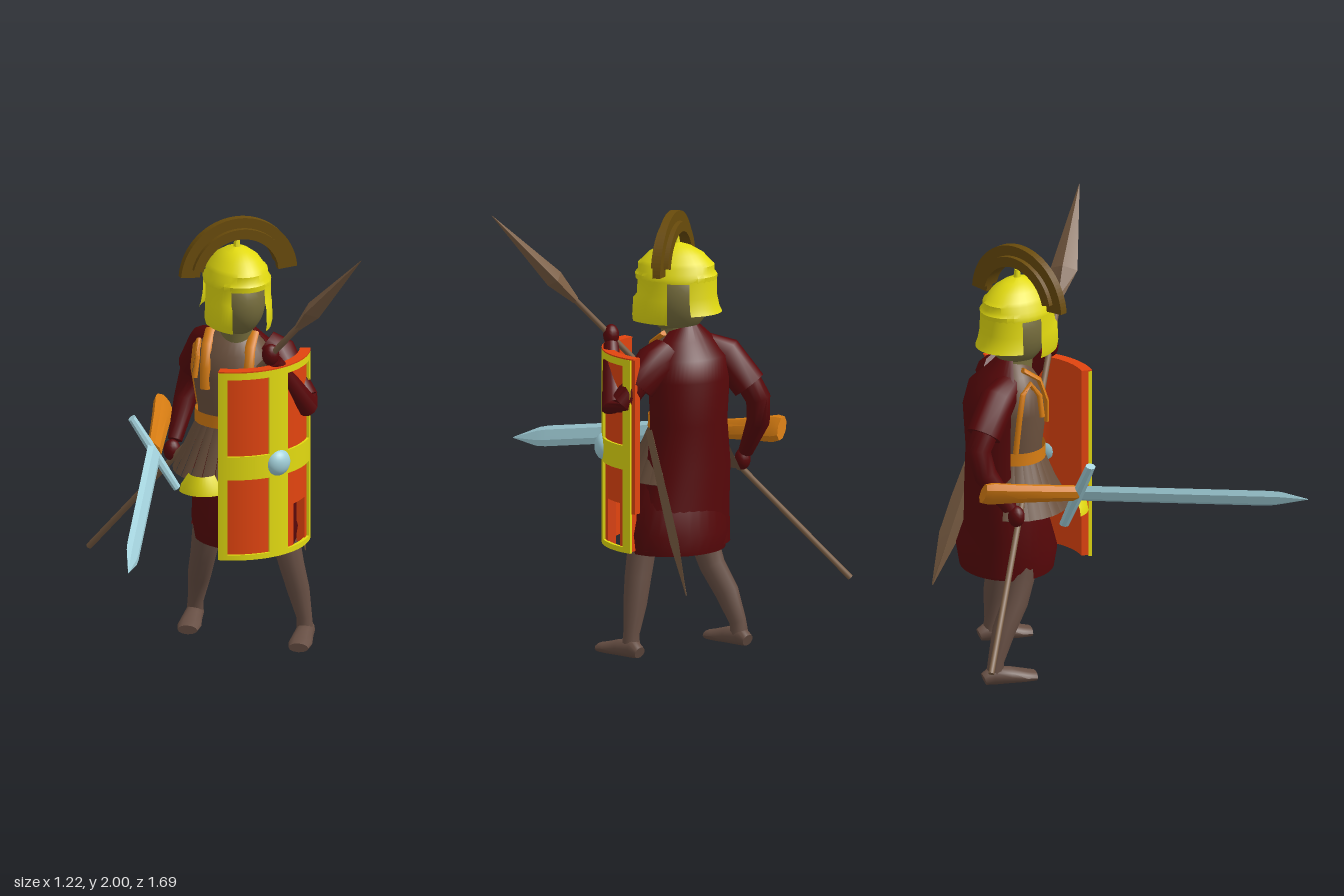
import * as THREE from 'three';
import { mergeVertices, toCreasedNormals } from 'three/addons/utils/BufferGeometryUtils.js';

const V = (x, y, z) => new THREE.Vector3(x, y, z);

function colour(name, hex, twoSided) {
  const m = new THREE.MeshStandardMaterial({ color: hex });
  m.name = name;
  if (twoSided) m.side = THREE.DoubleSide;
  return m;
}

// Joins rings of equal length into a skin, optionally closing both ends
function skin(rings, closed, crease) {
  const n = rings[0].length, pos = [], idx = [];
  rings.forEach(r => r.forEach(p => pos.push(p.x, p.y, p.z)));
  const steps = closed ? n : n - 1;
  for (let i = 0; i < rings.length - 1; i++) {
    for (let j = 0; j < steps; j++) {
      const k = (j + 1) % n, a = i * n, b = a + n;
      idx.push(a + j, a + k, b + k, a + j, b + k, b + j);
    }
  }
  if (closed) {
    [0, rings.length - 1].forEach((row, end) => {
      const mid = rings[row].reduce((s, p) => s.add(p), V(0, 0, 0)).divideScalar(n);
      const c = pos.length / 3;
      pos.push(mid.x, mid.y, mid.z);
      for (let j = 0; j < n; j++) {
        const p = row * n + j, q = row * n + (j + 1) % n;
        idx.push(c, end ? p : q, end ? q : p);
      }
    });
  }
  let g = new THREE.BufferGeometry();
  g.setAttribute('position', new THREE.Float32BufferAttribute(pos, 3));
  g.setIndex(idx);
  g = mergeVertices(g, 1e-4);
  return toCreasedNormals(g, crease);
}

// Horizontal ellipses [y, cx, cz, halfWidth, halfDepth], rising; angles in degrees from +z
function loft(rows, from = 0, to = 360, n = 32) {
  const rings = rows.map(([y, cx, cz, a, b]) => Array.from({ length: n + 1 }, (_, j) => {
    const t = THREE.MathUtils.degToRad(from + (to - from) * j / n);
    return V(cx + a * Math.sin(t), y, cz + b * Math.cos(t));
  }));
  return skin(rings, false, 0.8);
}

// Elliptical sections [x, y, z, half1, half2] along a path; half1 lies along "side"
function sweep(rows, side = [1, 0, 0], n = 12, crease = 0.9) {
  const pts = rows.map(r => V(r[0], r[1], r[2]));
  const rings = rows.map((r, i) => {
    const t = pts[Math.min(i + 1, pts.length - 1)].clone().sub(pts[Math.max(i - 1, 0)]).normalize();
    const s = V(...side);
    s.addScaledVector(t, -s.dot(t)).normalize();
    const u = t.clone().cross(s);
    return Array.from({ length: n }, (_, j) => {
      const a = 2 * Math.PI * j / n;
      return pts[i].clone().addScaledVector(s, r[3] * Math.cos(a)).addScaledVector(u, r[4] * Math.sin(a));
    });
  });
  return skin(rings, true, crease);
}

// Rows at fractions [t, half1, half2] of a straight line
function along(a, b, rows) {
  return rows.map(([t, w, h]) => [...V(...a).lerp(V(...b), t).toArray(), w, h]);
}

// Slab of a ring between two angles
function ringSlab(r0, r1, a0, a1, depth) {
  const s = new THREE.Shape();
  s.absarc(0, 0, r1, a0, a1, false);
  s.absarc(0, 0, r0, a1, a0, true);
  return new THREE.ExtrudeGeometry(s, { depth, bevelEnabled: false, curveSegments: 24 });
}

export function createModel() {
  const red = colour('cloak red', 0x560709, true);
  const yellow = colour('helmet yellow', 0xe2da10, true);
  const orangeRed = colour('shield orange red', 0xe2440f);
  const orange = colour('leather orange', 0xd67c12, true);
  const crestBrown = colour('crest brown', 0x694b0b);
  const skinBrown = colour('skin brown', 0x664e43);
  const faceOlive = colour('face olive', 0x756c3c);
  const wood = colour('wood brown', 0x7a5d43);
  const leather = colour('armour brown', 0x6a503d, true);
  const steel = colour('steel blue', 0xa2d0da);

  const model = new THREE.Group();
  const add = (name, geo, mat, parent = model) => {
    const m = new THREE.Mesh(geo, mat);
    m.name = name;
    parent.add(m);
    return m;
  };

  // Torso, turned toward the model's right
  const body = new THREE.Group();
  body.name = 'torso';
  body.position.set(0.23, 0, -0.2);
  body.rotation.y = -0.55;
  model.add(body);
  add('cuirass', loft([[1.0, 0, 0, 0.16, 0.13], [1.08, 0, 0, 0.16, 0.13], [1.25, 0, 0, 0.185, 0.15],
    [1.36, 0, 0, 0.17, 0.13], [1.42, 0, 0, 0.12, 0.09], [1.47, 0, 0, 0.055, 0.055]]), leather, body);
  add('belt', loft([[1.02, 0, 0, 0.176, 0.147], [1.078, 0, 0, 0.174, 0.145]]), orange, body);
  for (const s of [-1, 1]) {
    add('shoulderStrap', sweep([[s * 0.1, 1.2, 0.128, 0.024, 0.012], [s * 0.1, 1.3, 0.128, 0.024, 0.012],
      [s * 0.1, 1.4, 0.095, 0.024, 0.012], [s * 0.1, 1.45, 0.02, 0.024, 0.012]], [1, 0, 0], 8), orange, body);
  }
  // Arched trim around the right armhole
  add('armholeTrim', sweep([[-0.165, 1.08, -0.03, 0.013, 0.013], [-0.19, 1.25, -0.02, 0.013, 0.013],
    [-0.175, 1.36, 0.0, 0.013, 0.013], [-0.15, 1.4, 0.04, 0.013, 0.013],
    [-0.145, 1.34, 0.085, 0.013, 0.013], [-0.155, 1.24, 0.095, 0.013, 0.013]], [1, 0, 0.3], 8), orange, body);
  add('tunic', loft([[0.47, 0.065, -0.01, 0.24, 0.21], [0.56, 0.065, -0.01, 0.255, 0.225],
    [0.75, 0.04, -0.01, 0.225, 0.17], [1.02, 0, 0, 0.15, 0.12]]), red, body);
  add('cloak', loft([[0.49, 0.05, -0.03, 0.255, 0.18], [0.66, 0.04, -0.03, 0.24, 0.175],
    [0.85, 0.02, -0.04, 0.215, 0.17], [1.05, 0.02, -0.04, 0.195, 0.165], [1.25, 0.02, -0.04, 0.205, 0.178],
    [1.35, 0.01, -0.035, 0.195, 0.16], [1.42, 0, -0.02, 0.135, 0.1], [1.485, 0, -0.01, 0.062, 0.06]],
  78, 264), red, body);

  // Skirt of hanging leather strips
  for (let i = -8; i <= 8; i++) {
    const t = i * 0.24, s = Math.sin(t), c = Math.cos(t);
    add('skirtStrip', sweep([[0.16 * s, 1.03, 0.135 * c, 0.02, 0.006],
      [0.22 * s, 0.9, 0.19 * c, 0.026, 0.006], [0.27 * s, 0.79, 0.25 * c, 0.031, 0.006]],
    [c, 0, -s], 4), leather, body);
  }
  add('skirtOrnament', loft([[0.755, -0.085, 0.17, 0.13, 0.155], [0.79, -0.085, 0.17, 0.12, 0.15],
    [0.84, -0.085, 0.17, 0.08, 0.13]], -52, 48, 12), yellow, body);

  // Arms, both hands gripping the spear
  add('leftSleeve', sweep([[0.36, 1.38, -0.15, 0.07, 0.07], [0.41, 1.34, -0.12, 0.09, 0.09],
    [0.46, 1.23, -0.05, 0.08, 0.08]]), red);
  add('leftArm', sweep([[0.45, 1.28, -0.07, 0.06, 0.06], [0.505, 1.16, 0.01, 0.056, 0.055],
    [0.495, 1.14, 0.05, 0.052, 0.058], [0.4, 1.27, 0.085, 0.045, 0.045],
    [0.32, 1.39, 0.115, 0.034, 0.034]], [0.7, 0.7, 0]), red);
  add('rightSleeve', sweep([[0.18, 1.38, -0.28, 0.06, 0.06], [0.16, 1.34, -0.37, 0.083, 0.083],
    [0.145, 1.2, -0.48, 0.08, 0.08]]), red);
  add('rightArm', sweep([[0.14, 1.24, -0.46, 0.06, 0.06], [0.14, 1.14, -0.52, 0.058, 0.058],
    [0.105, 1.03, -0.51, 0.053, 0.053], [0.03, 0.87, -0.43, 0.034, 0.034]]), red);
  [['leftHand', 0.3, 1.425, 0.12], ['rightHand', 0.01, 0.83, -0.41]].forEach(([name, x, y, z]) => {
    const hand = add(name, new THREE.SphereGeometry(0.04, 14, 10), red);
    hand.position.set(x, y, z);
    hand.scale.set(1, 1.25, 0.9);
  });

  // Legs and feet
  add('rightLeg', sweep([[0.13, 0.62, -0.23, 0.072, 0.072], [0.125, 0.48, -0.26, 0.068, 0.066],
    [0.12, 0.36, -0.3, 0.058, 0.06], [0.125, 0.24, -0.37, 0.052, 0.056],
    [0.125, 0.11, -0.42, 0.036, 0.04], [0.125, 0.04, -0.43, 0.038, 0.042]]), skinBrown);
  add('leftLeg', sweep([[0.405, 0.62, -0.08, 0.066, 0.066], [0.43, 0.48, -0.06, 0.066, 0.066],
    [0.455, 0.36, -0.05, 0.058, 0.062], [0.485, 0.24, -0.045, 0.052, 0.055],
    [0.51, 0.11, -0.035, 0.036, 0.038], [0.515, 0.04, -0.035, 0.038, 0.042]]), skinBrown);
  [['rightFoot', 0.125, -0.43], ['leftFoot', 0.52, -0.04]].forEach(([name, x, z]) => {
    const foot = add(name, sweep([[0, 0.03, -0.05, 0.03, 0.028], [0, 0.045, -0.01, 0.04, 0.045],
      [0, 0.038, 0.07, 0.046, 0.038], [0, 0.028, 0.14, 0.054, 0.028], [0, 0.022, 0.19, 0.045, 0.022]]), skinBrown);
    foot.position.set(x, 0, z);
    foot.rotation.y = -0.5;
  });

  // Head and helmet
  const head = new THREE.Group();
  head.name = 'head';
  head.position.set(0.235, 0, -0.165);
  model.add(head);
  const skull = add('face', new THREE.SphereGeometry(1, 24, 16), faceOlive, head);
  skull.position.set(0, 1.61, 0);
  skull.scale.set(0.125, 0.17, 0.155);
  add('neck', loft([[1.4, 0, -0.02, 0.075, 0.08], [1.56, 0, 0, 0.075, 0.085]]), faceOlive, head);
  add('helmetDome', loft([[1.69, 0, 0, 0.148, 0.185], [1.715, 0, 0, 0.15, 0.188], [1.73, 0, 0, 0.138, 0.175],
    [1.76, 0, 0, 0.134, 0.175], [1.775, 0, 0, 0.12, 0.158], [1.81, 0, 0, 0.096, 0.125], [1.84, 0, 0, 0.055, 0.07],
    [1.855, 0, 0, 0.016, 0.018], [1.89, 0, 0, 0.012, 0.012], [1.895, 0, 0, 0.001, 0.001]]), yellow, head);
  for (const s of [-1, 1]) {
    add('cheekGuard', loft([[1.5, 0, 0, 0.145, 0.212], [1.53, 0, 0, 0.153, 0.215], [1.61, 0, 0, 0.15, 0.21],
      [1.63, 0, 0, 0.149, 0.19], [1.7, 0, 0, 0.148, 0.186]], s > 0 ? 32 : -90, s > 0 ? 90 : -32, 12), yellow, head);
  }
  add('neckGuard', loft([[1.545, 0, 0, 0.168, 0.208], [1.57, 0, 0, 0.16, 0.196],
    [1.62, 0, 0, 0.152, 0.186], [1.7, 0, 0, 0.148, 0.185]], 122, 238, 20), yellow, head);

  // Crest running from side to side
  [['crestFin', 0.186, 0.275, 0.036, 0.08], ['crestBase', 0.182, 0.228, 0.08, 0.25]].forEach(([name, r0, r1, d, a]) => {
    add(name, ringSlab(r0, r1, a, Math.PI - a, d), crestBrown, head).position.set(0, 1.72, 0.015 - d / 2);
  });

  // Curved shield: orange board with a raised yellow frame and cross
  const shield = new THREE.Group();
  shield.name = 'shield';
  shield.position.set(0.22, 0, -0.176);
  shield.rotation.y = 0.32;
  model.add(shield);
  const plate = (name, u0, u1, y0, y1, r0, r1, mat) => {
    const g = ringSlab(r0, r1, u0 - Math.PI / 2, u1 - Math.PI / 2, y1 - y0);
    g.rotateX(-Math.PI / 2);
    add(name, g, mat, shield).position.y = y0;
  };
  [[-0.82, 0.29, 0.485, 1.368], [0.62, 0.83, 0.485, 1.368], [0.29, 0.62, 0.7, 1.368], [0.83, 0.9, 0.66, 1.368]]
    .forEach(p => plate('shieldBoard', ...p, 0.3, 0.338, orangeRed));
  plate('shieldTopEdge', -0.83, 0.9, 1.367, 1.373, 0.3, 0.349, orangeRed);
  [[-0.83, -0.71, 0.48, 1.367], [0.71, 0.84, 0.48, 1.367], [-0.15, 0.15, 0.5, 1.34], [-0.71, 0.71, 0.86, 0.97],
    [-0.71, 0.71, 0.48, 0.505], [-0.71, 0.71, 1.335, 1.367]]
    .forEach(p => plate('shieldFrame', ...p, 0.333, 0.349, yellow));
  const boss = add('shieldBoss', new THREE.SphereGeometry(0.062, 24, 16), steel, shield);
  boss.position.set(0, 0.92, 0.336);
  boss.scale.z = 0.75;

  // Spear
  const butt = [-0.24, 0.26, -0.84], tip = [0.57, 2, 0.6];
  add('spearShaft', sweep(along(butt, tip, [[0, 0.014, 0.014], [0.78, 0.014, 0.014]]), [1, 0, 0], 8), wood);
  add('spearHead', sweep(along(butt, tip, [[0.765, 0.016, 0.016], [0.825, 0.062, 0.042], [1, 0.001, 0.001]]),
    [0.85, 0, -0.5], 4, 0.2), wood);

  // Sword with orange grip
  const guardDir = [0.2, -0.35, 0.04], hilt = [-0.15, 0.92, -0.18];
  add('swordBlade', sweep(along(hilt, [-0.61, 0.725, 0.84], [[0, 0.05, 0.016], [0.82, 0.05, 0.016],
    [0.87, 0.045, 0.014], [1, 0.002, 0.002]]), guardDir, 6, 0.2), steel);
  add('swordGuard', sweep(along([-0.25, 1.08, -0.2], [-0.05, 0.74, -0.16],
    [[0, 0.024, 0.018], [0.5, 0.03, 0.022], [1, 0.024, 0.018]]), [-0.46, -0.2, 1], 8, 0.3), steel);
  add('swordGrip', sweep(along([0.035, 0.985, -0.6], hilt, [[0, 0.058, 0.028], [0.08, 0.066, 0.034],
    [0.35, 0.055, 0.032], [1, 0.042, 0.028]]), guardDir, 8, 0.5), orange);

  // Scabbard hanging at the left hip
  add('scabbard', sweep(along([0.49, 1.04, -0.11], [0.61, 0.32, -0.32], [[0, 0.03, 0.016], [0.45, 0.045, 0.02],
    [0.68, 0.046, 0.018], [1, 0.003, 0.003]]), [-0.7, 0.2, 0.7], 4, 0.2), wood);

  return model;
}
